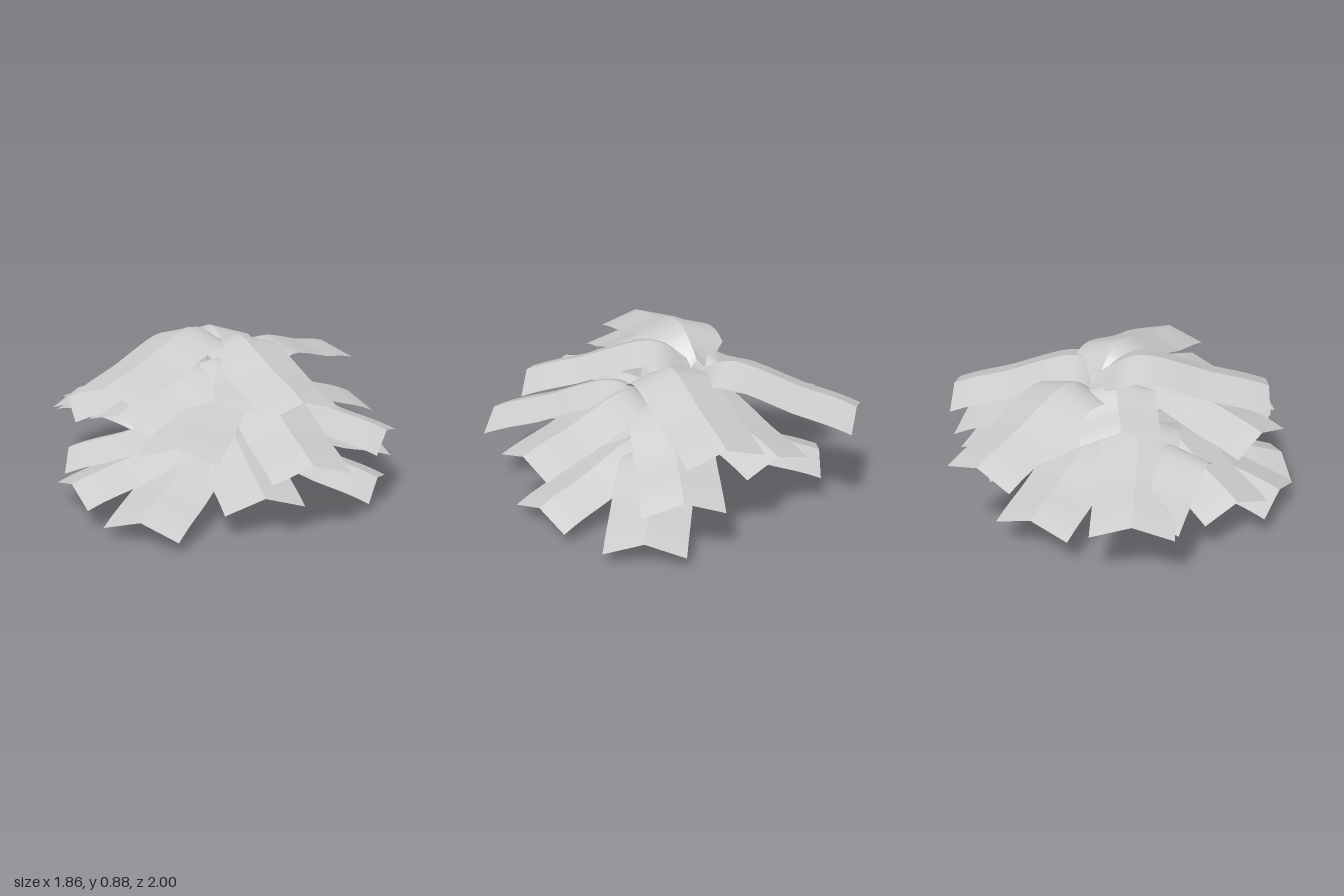
import * as THREE from 'three';

const leafMat = new THREE.MeshStandardMaterial({ color: 0xcccccc, side: THREE.DoubleSide });
const solidMat = new THREE.MeshStandardMaterial({ color: 0xcccccc });

// Ridge profile shared by all leaves: [fraction along leaf, share of the drop from peak to tip]
// The negative fraction is the narrow root that curls back to the stem.
const PROFILE = [[-0.14, 0.8], [-0.05, 0.5], [0.03, 0.24], [0.11, 0.05], [0.2, 0], [0.29, 0.06],
  [0.45, 0.28], [0.63, 0.55], [0.8, 0.73], [0.9, 0.85], [1, 1]];
const HALF_WIDTH = 0.207, FOLD = 0.066, STEPS = 20;

// Leaf: a roof-folded strip arching from (x0, z0) to (x1, z1)
function makeLeaf([x0, z0, x1, z1, peak, tip]) {
  const curve = new THREE.CatmullRomCurve3(PROFILE.map(([t, d]) => new THREE.Vector3(
    x0 + (x1 - x0) * t, peak + (tip - peak) * d, z0 + (z1 - z0) * t)));
  const points = curve.getPoints(STEPS);
  const out = new THREE.Vector2(x1 - x0, z1 - z0).normalize();
  const positions = [], indices = [];
  // Each half has its own ridge vertices, so the fold stays sharp
  for (const side of [-1, 1]) {
    const base = positions.length / 3;
    points.forEach((p, i) => {
      const w = HALF_WIDTH * side * Math.min(1, 0.3 + 0.175 * i);
      positions.push(p.x, p.y, p.z);
      positions.push(p.x - out.y * w, p.y - FOLD, p.z + out.x * w);
    });
    for (let i = 0; i < STEPS; i++) {
      const a = base + i * 2, b = a + 1, c = a + 2, d = a + 3;
      if (side > 0) indices.push(a, b, c, b, d, c);
      else indices.push(a, c, b, b, c, d);
    }
  }
  const geo = new THREE.BufferGeometry();
  geo.setAttribute('position', new THREE.Float32BufferAttribute(positions, 3));
  geo.setIndex(indices);
  geo.computeVertexNormals();
  return new THREE.Mesh(geo, leafMat);
}

// Leaves by tier: start x, start z, tip x, tip z, peak height, tip height
const TIERS = {
  upperLeaf: [
    [0.05, -0.03, 0.05, 0.77, 0.845, 0.67],
    [0.1, -0.17, 0.255, -0.965, 0.77, 0.58],
    [-0.03, -0.09, -0.765, 0.25, 0.875, 0.715],
    [0.12, 0.05, 0.83, -0.3, 0.775, 0.6],
    [-0.14, 0.11, -0.74, 0.34, 0.76, 0.6],
    [-0.1, 0.12, -0.85, -0.04, 0.74, 0.6],
  ],
  shortLeaf: [
    [-0.1, 0.17, -0.28, 0.46, 0.775, 0.64],
    [-0.04, -0.1, -0.235, -0.4, 0.76, 0.62],
  ],
  middleLeaf: [
    [-0.17, -0.03, -0.5, -0.8, 0.58, 0.37],
    [-0.42, -0.16, -0.485, -0.7, 0.52, 0.37],
    [-0.08, -0.06, 0.49, -0.56, 0.57, 0.4],
    [0.1, 0.04, 0.89, -0.1, 0.6, 0.34],
    [0.06, 0.14, 0.585, 0.72, 0.6, 0.42],
    [0.08, 0.17, -0.01, 0.97, 0.62, 0.42],
    [-0.06, 0.12, -0.57, 0.645, 0.64, 0.5],
    [-0.14, 0.14, -0.8, -0.2, 0.43, 0.26],
  ],
  lowerLeaf: [
    [0.065, -0.02, 0.065, -0.8, 0.4, 0.235],
    [0.12, 0.05, 0.935, 0.09, 0.34, 0.135],
    [0.04, 0.08, 0.59, 0.65, 0.33, 0.13],
    [-0.01, 0.03, -0.155, 0.77, 0.37, 0.205],
    [-0.1, 0.1, -0.745, 0.59, 0.32, 0.13],
    [-0.11, 0.12, -0.91, 0.12, 0.37, 0.19],
  ],
};

// Stems: foot x, foot z, top x, top z, top height
const STEMS = [
  [-0.065, 0.04, -0.06, 0.03, 0.77],
  [0.025, -0.09, 0.04, -0.11, 0.66],
  [0.15, 0.03, 0.11, 0.03, 0.66],
];

export function createModel() {
  const model = new THREE.Group();
  model.name = 'leafyPlant';

  // Round base
  const base = new THREE.Mesh(new THREE.CylinderGeometry(0.182, 0.182, 0.037, 24), solidMat);
  base.name = 'base';
  base.position.set(0.025, 0.0185, 0.037);
  model.add(base);

  // Thin round stems
  STEMS.forEach(([x0, z0, x1, z1, h], i) => {
    const foot = new THREE.Vector3(x0, 0.03, z0), top = new THREE.Vector3(x1, h, z1);
    const axis = top.clone().sub(foot);
    const stem = new THREE.Mesh(new THREE.CylinderGeometry(0.03, 0.035, axis.length(), 14), solidMat);
    stem.name = `stem${i + 1}`;
    stem.position.copy(foot).add(top).multiplyScalar(0.5);
    stem.quaternion.setFromUnitVectors(new THREE.Vector3(0, 1, 0), axis.normalize());
    model.add(stem);
  });

  // Tiers of drooping leaves
  for (const [tier, leaves] of Object.entries(TIERS)) {
    leaves.forEach((spec, i) => {
      const leaf = makeLeaf(spec);
      leaf.name = `${tier}${i + 1}`;
      model.add(leaf);
    });
  }
  return model;
}
